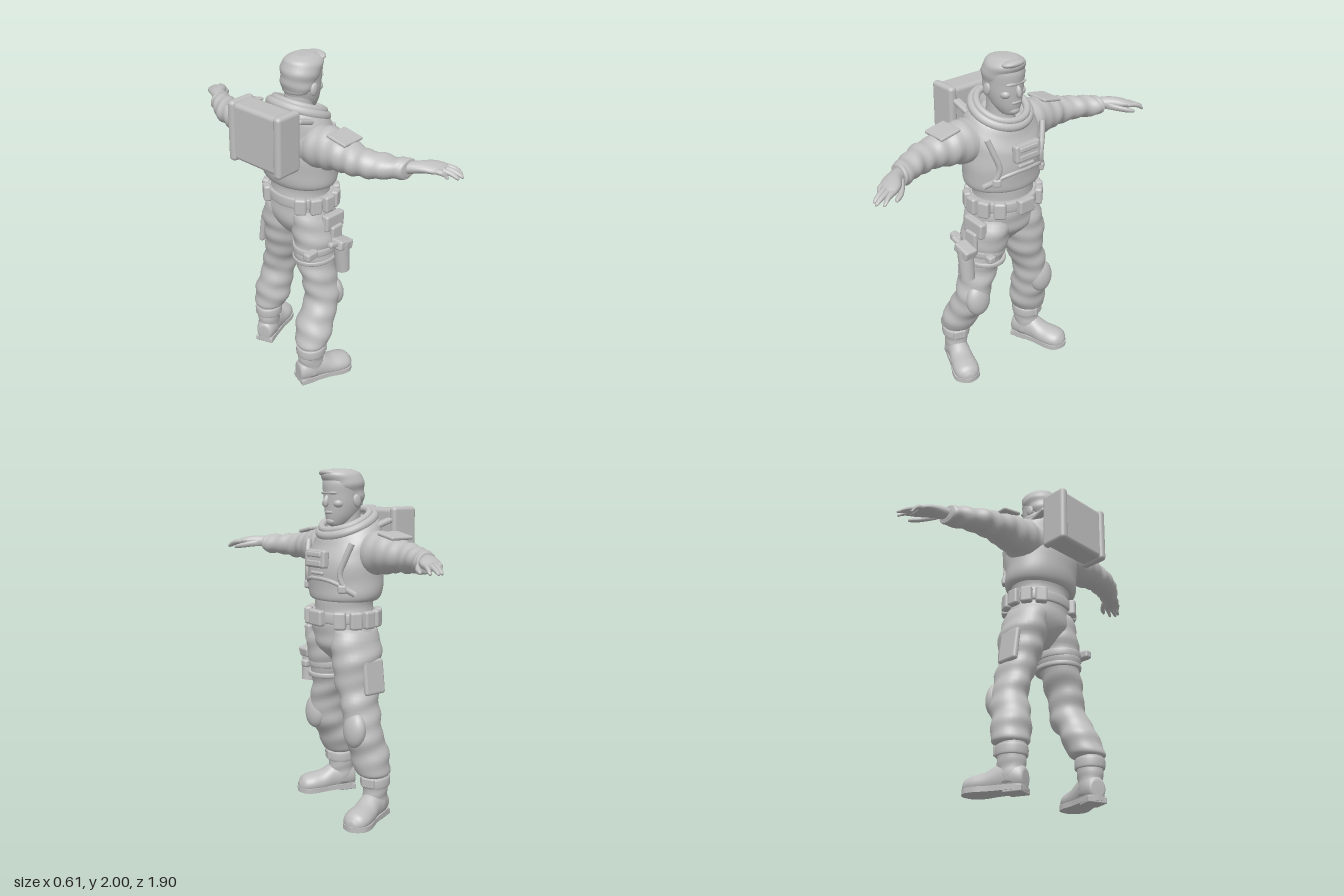
import * as THREE from 'three';
import { RoundedBoxGeometry } from 'three/addons/geometries/RoundedBoxGeometry.js';

const grey = new THREE.MeshStandardMaterial({ color: 0xbfbfbf });
grey.name = 'plain grey';

// Smooth closed skin through elliptical sections [x, y, z, radiusA, radiusB] set square to one axis
function loft(axis, sections, { n = 32, per = 5, fold = 0, freq = 60, rule } = {}) {
  const mid = new THREE.CatmullRomCurve3(sections.map(s => new THREE.Vector3(s[0], s[1], s[2])), false, 'catmullrom');
  const rad = new THREE.CatmullRomCurve3(sections.map(s => new THREE.Vector3(s[3], s[4], 0)), false, 'catmullrom');
  const rows = (sections.length - 1) * per, pos = [], idx = [];
  for (let i = 0; i <= rows; i++) {
    const c = mid.getPoint(i / rows), r = rad.getPoint(i / rows);
    const along = c[axis] * freq;
    for (let j = 0; j < n; j++) {
      const t = j / n * Math.PI * 2;
      // cloth folds: slanted ripples around the limb
      const w = fold * (Math.sin(along + 1.7 * Math.sin(t + 1)) + 0.6 * Math.sin(along * 0.57 + 2 * t));
      const a = (r.x + w) * Math.cos(t), b = (r.y + w) * Math.sin(t);
      const p = axis === 'y' ? [c.x + a, c.y, c.z + b] : axis === 'z' ? [c.x + a, c.y + b, c.z] : [c.x, c.y + a, c.z + b];
      if (rule) rule(p);
      pos.push(...p);
      if (i < rows) {
        const k = i * n + j, m = i * n + (j + 1) % n;
        idx.push(k, k + n, m, m, k + n, m + n);
      }
    }
  }
  for (const [row, flip] of [[0, false], [rows, true]]) {
    const centre = pos.length / 3, p = mid.getPoint(row / rows).toArray();
    if (rule) rule(p);
    pos.push(...p);
    for (let j = 0; j < n; j++) {
      const k = row * n + j, m = row * n + (j + 1) % n;
      idx.push(...(flip ? [centre, m, k] : [centre, k, m]));
    }
  }
  // turn the skin outward whichever way the sections run
  const v = i => new THREE.Vector3().fromArray(pos, i * 3);
  let volume = 0;
  for (let i = 0; i < idx.length; i += 3) volume += v(idx[i]).dot(v(idx[i + 1]).cross(v(idx[i + 2])));
  if (volume < 0) idx.reverse();
  const g = new THREE.BufferGeometry();
  g.setAttribute('position', new THREE.Float32BufferAttribute(pos, 3));
  g.setIndex(idx);
  g.computeVertexNormals();
  return g;
}

export function createModel() {
  const model = new THREE.Group();
  const add = (name, geo, parent = model) => {
    const m = new THREE.Mesh(geo, grey);
    m.name = name;
    parent.add(m);
    return m;
  };
  const box = (name, p, size, ry = 0, rz = 0, r = 0.014, parent = model) => {
    const m = add(name, new RoundedBoxGeometry(...size, 2, Math.min(r, Math.min(...size) * 0.45)), parent);
    m.position.set(...p);
    m.rotation.set(0, ry, rz);
    return m;
  };
  const ball = (name, p, size, rz = 0) => {
    const m = add(name, new THREE.SphereGeometry(1, 20, 14));
    m.position.set(...p);
    m.scale.set(...size);
    m.rotation.z = rz;
    return m;
  };

  // Head
  add('neck', loft('y', [[.05, 1.58, 0, .085, .085], [.05, 1.68, 0, .08, .08], [.055, 1.8, 0, .08, .08]]));
  add('head', loft('y', [[.125, 1.683, 0, .03, .03], [.108, 1.695, 0, .066, .05], [.09, 1.74, 0, .095, .078],
    [.08, 1.80, 0, .11, .095], [.08, 1.86, 0, .113, .1], [.08, 1.92, 0, .117, .103], [.08, 1.96, 0, .1, .09], [.08, 1.985, 0, .06, .055]]));
  add('hair', loft('y', [[.025, 1.80, 0, .06, .08], [.042, 1.84, 0, .085, .1], [.06, 1.88, 0, .107, .107], [.07, 1.92, 0, .118, .112],
    [.082, 1.955, 0, .12, .105], [.09, 1.98, 0, .108, .085], [.095, 1.998, 0, .06, .05]], { fold: .002, freq: 90 }));
  ball('forelock', [.165, 1.972, .015], [.045, .022, .07], .2);
  ball('nose', [.192, 1.825, 0], [.02, .036, .016], .3);
  ball('brow', [.175, 1.868, 0], [.02, .012, .07]);
  ball('mouth', [.178, 1.762, 0], [.014, .012, .034]);
  ball('chin', [.158, 1.712, 0], [.028, .025, .036]);
  for (const s of [1, -1]) {
    ball('ear', [.06, 1.825, s * .104], [.026, .037, .014], -.2);
    ball('cheek', [.145, 1.81, s * .052], [.035, .026, .03]);
  }

  // Torso and trousers seat
  add('trunk', loft('y', [[.075, .9, 0, .06, .04], [.075, 1.0, 0, .15, .17], [.075, 1.08, 0, .165, .21], [.075, 1.16, 0, .163, .195],
    [.07, 1.25, 0, .16, .182], [.065, 1.35, 0, .17, .2]], { fold: .003, freq: 50 }));
  const slope = p => { // neckline drops toward the front
    p[1] -= .42 * (p[0] - .05) * THREE.MathUtils.smoothstep(p[1], 1.46, 1.68);
  };
  add('vest', loft('y', [[.065, 1.285, 0, .15, .18], [.068, 1.275, 0, .175, .215], [.065, 1.31, 0, .192, .235], [.06, 1.4, 0, .2, .24],
    [.06, 1.5, 0, .2, .235], [.055, 1.58, 0, .188, .225], [.05, 1.64, 0, .178, .21], [.05, 1.69, 0, .16, .18],
    [.05, 1.695, 0, .13, .14], [.05, 1.66, 0, .1, .11]], { n: 48, fold: .002, freq: 40, rule: slope }));

  // Neck ring
  const collar = new THREE.Group();
  collar.name = 'collar';
  collar.position.set(.05, 1.695, 0);
  collar.rotation.z = -.4;
  model.add(collar);
  for (const [R, r, y] of [[.16, .027, 0], [.142, .02, .026]]) {
    const ring = add('collarRing', new THREE.TorusGeometry(R, r, 12, 48), collar);
    ring.rotation.x = Math.PI / 2;
    ring.position.y = y;
  }

  // Harness, chest unit
  const onVest = (y, z, off = 0) => new THREE.Vector3(.06 + (.2 + off) * Math.sqrt(Math.max(0, 1 - (z / .242) ** 2)), y, z);
  for (const s of [1, -1]) {
    const strap = [[1.6, .2], [1.52, .175], [1.43, .15], [1.36, .17], [1.32, .21]].map(([y, z]) => onVest(y, s * z));
    add('harnessStrap', new THREE.TubeGeometry(new THREE.CatmullRomCurve3(strap), 30, .017, 8));
    const lower = [[1.36, .17], [1.39, .1], [1.4, .04], [1.4, 0]].map(([y, z]) => onVest(y, s * z));
    add('chestStrap', new THREE.TubeGeometry(new THREE.CatmullRomCurve3(lower), 20, .012, 8));
    box('strapClasp', onVest(1.35, s * .165, .01).toArray(), [.03, .05, .05], s * -.7);
    box('shoulderStrap', [-.08, 1.7, s * .16], [.12, .03, .05], 0, -.3);
  }
  box('chestUnit', [.262, 1.51, 0], [.045, .1, .175], 0, .08);
  box('chestUnitTop', [.282, 1.535, 0], [.02, .03, .13], 0, .08);
  box('chestUnitBottom', [.282, 1.485, 0], [.02, .035, .13], 0, .08);
  box('chestTab', [.262, 1.43, 0], [.02, .02, .11]);

  // Backpack with a raised rim at each end
  box('backpack', [-.22, 1.615, 0], [.15, .33, .33], 0, 0, .025);
  for (const s of [1, -1]) box('backpackRim', [-.222, 1.615, s * .168], [.17, .35, .05], 0, 0, .022);

  // Belt
  add('belt', loft('y', [[.077, 1.15, 0, .165, .19], [.077, 1.153, 0, .18, .213], [.077, 1.205, 0, .18, .213], [.077, 1.21, 0, .165, .19]], { n: 48 }));
  box('buckle', [.266, 1.178, 0], [.045, .09, .11]);
  for (const s of [1, -1]) {
    for (const deg of [42, 68, 93, 118, 143]) {
      const a = deg * Math.PI / 180;
      box('beltPouch', [.077 + .188 * Math.cos(a), 1.172, s * .218 * Math.sin(a)], [.045, .1, .07], -s * a);
    }
  }

  for (const s of [1, -1]) {
    // Arm, cuff and shoulder patch
    const drop = s < 0 ? .01 : 0;
    const along = rows => rows.map(([z, x, y, a, b]) => [x, y - drop * z / .7, s * z, a, b]);
    add('sleeve', loft('z', along([[.1, 0, 1.54, .1, .1], [.2, .01, 1.545, .122, .122], [.3, .01, 1.55, .11, .112], [.4, .008, 1.545, .098, .09],
      [.48, .01, 1.54, .086, .079], [.56, .03, 1.54, .086, .07], [.64, .068, 1.54, .078, .06], [.7, .1, 1.542, .07, .054], [.72, .108, 1.545, .045, .035]]),
      { fold: .004, freq: 75 }));
    const patch = box('shoulderPatch', [.01, 1.645, s * .365], [.15, .02, .13]);
    patch.rotation.x = s * .19;
    add('cuff', loft('z', along([[.685, .09, 1.543, .05, .04], [.69, .095, 1.543, .07, .057], [.712, .105, 1.543, .068, .055], [.717, .108, 1.543, .05, .04]]), { n: 24 }));
    // Hand
    add('palm', loft('z', along([[.69, .1, 1.545, .04, .035], [.74, .13, 1.555, .048, .034], [.79, .172, 1.56, .066, .03],
      [.84, .2, 1.555, .066, .024], [.865, .212, 1.548, .045, .016]]), { n: 20 }));
    for (let i = 0; i < 4; i++) {
      const x = .155 + i * .03, end = [.9, .942, .95, .925][i];
      add('finger', loft('z', along([[.82, x, 1.555, .015, .014], [.87, x + .016, 1.55, .017, .015], [(end + .87) / 2, x + .028, 1.54, .015, .013],
        [end - .008, x + .036, 1.525, .011, .01], [end, x + .038, 1.522, .004, .004]]), { n: 10, per: 3 }));
    }
    add('thumb', loft('z', along([[.73, .16, 1.548, .02, .02], [.77, .215, 1.54, .022, .018], [.81, .257, 1.53, .019, .015],
      [.845, .276, 1.522, .013, .011], [.853, .279, 1.52, .004, .004]]), { n: 10, per: 3 }));

    // Leg: the right-hand one stands a little ahead
    const xs = s > 0 ? [.065, .07, .06, .045, .045, .045, .035, -.005, -.045, -.072, -.082] : [.075, .08, .088, .092, .098, .1, .095, .075, .06, .052, .048];
    const shape = [[1.12, .1, .14, .1], [1.0, .125, .157, .122], [.9, .135, .147, .12], [.8, .145, .133, .108], [.7, .175, .12, .1], [.6, .2, .112, .098],
      [.52, .21, .113, .103], [.45, .217, .114, .108], [.37, .225, .111, .112], [.29, .237, .104, .104], [.265, .24, .075, .075]];
    add('trouserLeg', loft('y', shape.map(([y, z, a, b], i) => [xs[i], y, s * z, a, b]), { fold: .0045, freq: 55 }));
    ball('kneePad', [xs[6] + .08, .555, s * .225], [.055, .105, .08], .1);
    if (s < 0) box('thighPocket', [.06, .85, -.252], [.14, .2, .035], 0, 0, .016).rotation.x = .12;

    // Boot, turned outward
    const boot = new THREE.Group();
    boot.name = 'boot';
    boot.position.set(s > 0 ? -.09 : .035, 0, s * .242);
    boot.rotation.y = -s * .36;
    model.add(boot);
    add('bootShaft', loft('y', [[0, .05, 0, .075, .065], [0, .14, 0, .078, .068], [0, .21, 0, .08, .075], [0, .29, 0, .08, .078]], { fold: .002, freq: 90 }), boot);
    add('bootFoot', loft('x', [[-.088, .08, 0, .02, .02], [-.08, .08, 0, .06, .05], [-.02, .09, 0, .085, .066], [.06, .085, 0, .085, .066],
      [.13, .065, 0, .067, .074], [.2, .06, 0, .06, .079], [.25, .055, 0, .05, .064], [.278, .045, 0, .022, .025]],
      { rule: p => { p[1] = Math.max(p[1], .02); } }), boot);
    const outline = new THREE.Shape();
    outline.moveTo(-.09, 0);
    outline.splineThru([[-.075, .05], [0, .062], [.1, .068], [.19, .083], [.25, .068], [.285, 0], [.25, -.068], [.19, -.083], [.1, -.068], [0, -.062], [-.075, -.05], [-.09, 0]]
      .map(p => new THREE.Vector2(...p)));
    const sole = new THREE.ExtrudeGeometry(outline, { depth: .03, bevelEnabled: false, curveSegments: 40 });
    sole.rotateX(-Math.PI / 2);
    sole.translate(0, .012, 0);
    add('sole', sole, boot);
    box('heel', [-.03, .018, 0], [.11, .036, .115], 0, 0, .006, boot);
    add('ankleBand', loft('y', [[0, .2, 0, .075, .07], [0, .205, 0, .09, .084], [0, .255, 0, .09, .084], [0, .26, 0, .075, .07]]), boot);
    box('ankleBuckle', [.075, .235, 0], [.04, .06, .08], 0, 0, .01, boot);
  }

  // Hip pouch, thigh strap and holster on the left
  box('hipPouch', [.1, 1.05, .228], [.155, .1, .05], 0, -.05);
  box('holsterHanger', [.1, .96, .255], [.09, .14, .03]);
  for (const [y, w] of [[.88, .02], [.81, .012]]) {
    add('thighStrap', loft('y', [[.055, y - w, .138, .13, .1], [.055, y - w, .138, .148, .122], [.055, y + w, .138, .15, .122], [.055, y + w, .138, .13, .1]]));
  }
  box('strapBox', [-.08, .89, .22], [.09, .05, .05]);
  const holster = add('holster', new THREE.CylinderGeometry(.048, .042, .2, 20));
  holster.position.set(.105, .84, .3);
  holster.rotation.z = .1;
  box('holsterFlap', [.1, .925, .3], [.115, .06, .085], 0, -.25);
  box('holsterGrip', [.04, .945, .3], [.11, .035, .035], 0, -.25);
  box('holsterClip', [.2, .87, .2], [.05, .045, .05]);
  return model;
}
